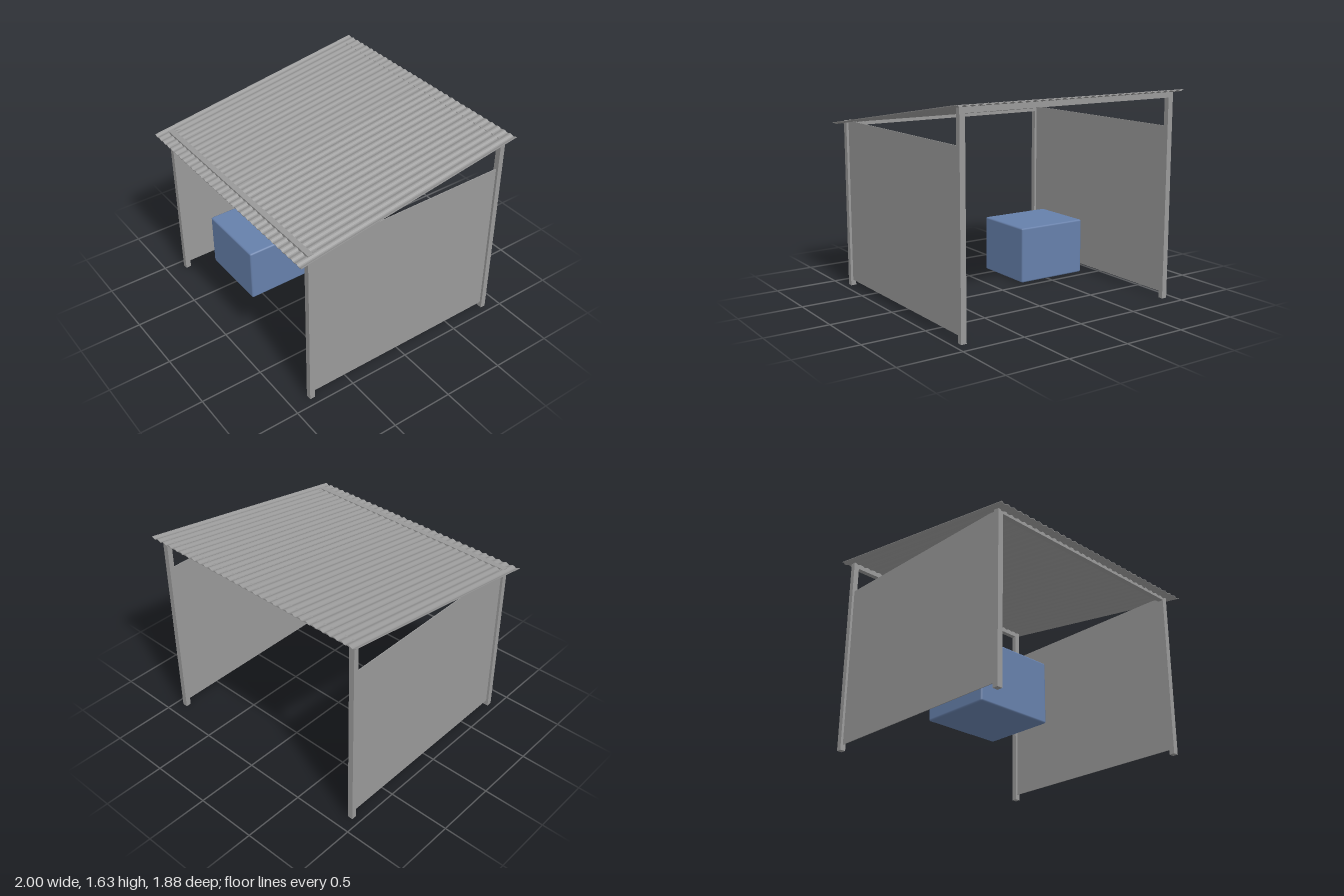
import * as THREE from 'three';
import { toCreasedNormals } from 'three/addons/utils/BufferGeometryUtils.js';
import { RoundedBoxGeometry } from 'three/addons/geometries/RoundedBoxGeometry.js';

const material = (name, color) => {
  const m = new THREE.MeshStandardMaterial({ color });
  m.name = name;
  return m;
};

// Corrugated strip between x0 and x1, extruded along z
function corrugatedSheet(x0, x1, length) {
  const period = 0.0625, amplitude = 0.0055, half = 0.002;
  const steps = Math.round(((x1 - x0) / period) * 8);
  const top = [], bottom = [];
  for (let i = 0; i <= steps; i++) {
    const x = x0 + ((x1 - x0) * i) / steps;
    const y = amplitude * Math.cos(((x + 1) / period) * Math.PI * 2);
    bottom.push(new THREE.Vector2(x, y - half));
    top.unshift(new THREE.Vector2(x, y + half));
  }
  const geometry = new THREE.ExtrudeGeometry(new THREE.Shape([...bottom, ...top]), {
    depth: length, bevelEnabled: false,
  });
  return geometry.translate(0, 0, -length / 2);
}

export function createModel() {
  const model = new THREE.Group();
  model.name = 'shelter';
  const grey = material('grey metal', 0x999999);
  const blue = material('blue crate', 0x6680ab);

  const add = (name, geometry, mat, x, y, z) => {
    const mesh = new THREE.Mesh(geometry, mat);
    mesh.name = name;
    mesh.position.set(x, y, z);
    model.add(mesh);
    return mesh;
  };
  // Box given by its lower and upper bounds
  const block = (name, x0, x1, y0, y1, z0, z1) =>
    add(name, new THREE.BoxGeometry(x1 - x0, y1 - y0, z1 - z0), grey,
      (x0 + x1) / 2, (y0 + y1) / 2, (z0 + z1) / 2);

  // Posts and side walls, mirrored
  for (const [side, s] of [['left', 1], ['right', -1]]) {
    const x = s * 0.922;
    block(side + 'FrontPost', x - 0.022, x + 0.022, 0, 1.35, 0.805, 0.849);
    block(side + 'BackPost', x - 0.022, x + 0.022, 0, 1.61, -0.887, -0.845);
    block(side + 'Wall', x - 0.003, x + 0.003, 0.045, 1.35, -0.845, 0.805);
  }

  // Cross beams under the roof
  block('frontBeam', -0.944, 0.944, 1.308, 1.35, 0.805, 0.849);
  block('backBeam', -0.944, 0.944, 1.568, 1.61, -0.887, -0.845);

  // Sloping corrugated roof in two sheets
  const length = 1.9, slope = Math.atan(0.305 / 1.88);
  const smooth = toCreasedNormals(corrugatedSheet(-1, 0.0625, length), 0.6);
  for (const [name, geometry] of [
    ['rightRoofSheet', smooth],
    ['leftRoofSheet', corrugatedSheet(0.0625, 1, length)],
  ]) {
    add(name, geometry, grey, 0, 1.472, 0).rotation.x = slope;
  }

  // Crate with softened edges
  add('crate', new RoundedBoxGeometry(0.615, 0.458, 0.54, 1, 0.014), blue, -0.542, 0.232, 0.33);

  return model;
}
